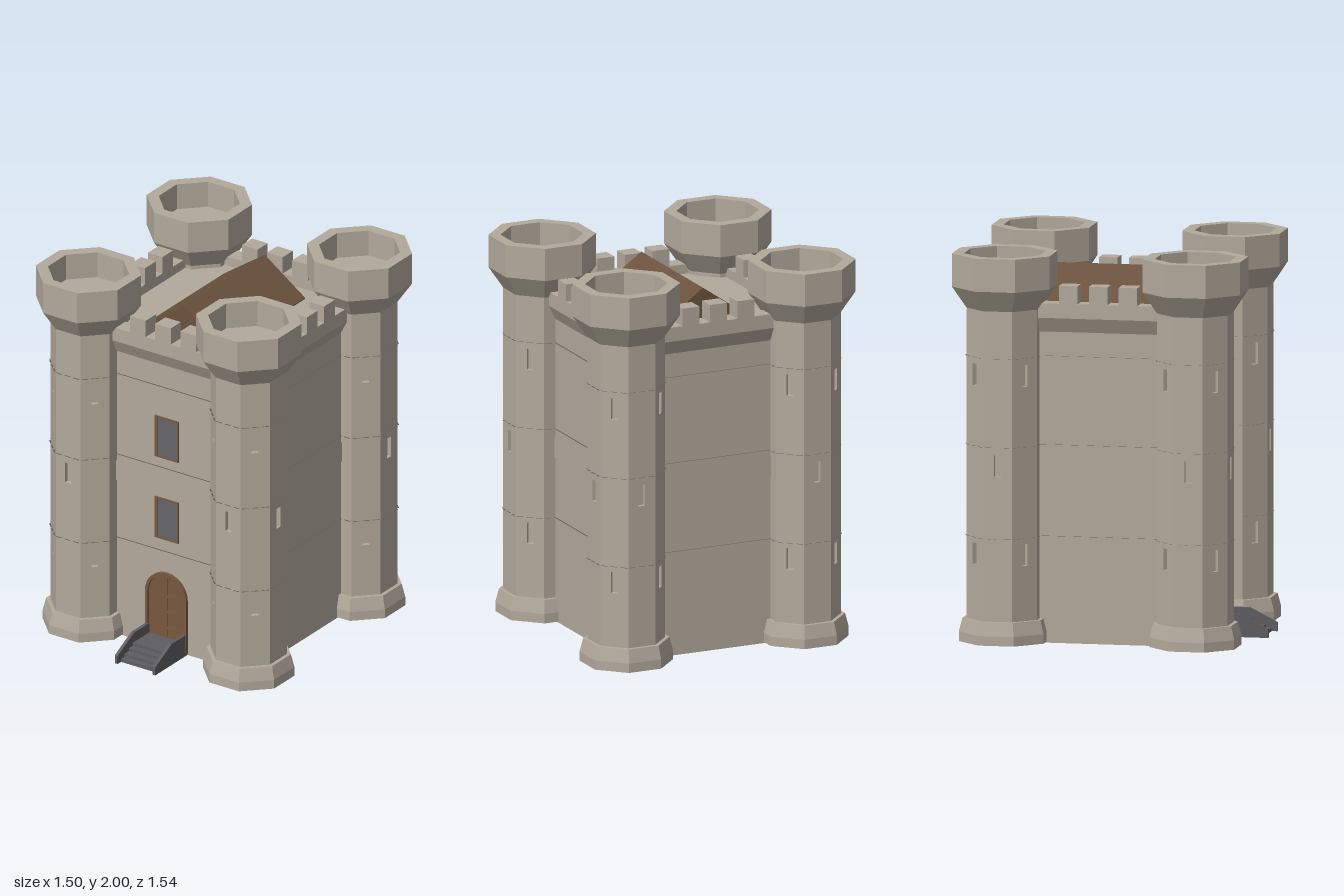
import * as THREE from 'three';

const mat = (name, color, side = THREE.FrontSide) => {
  const m = new THREE.MeshStandardMaterial({ color, side });
  m.name = name;
  return m;
};

// Faceted solid with n sides; profile is [apothem, y] from bottom to top
function faceted(profile, n) {
  const k = 1 / Math.cos(Math.PI / n);
  const pts = profile.map(([r, y]) => new THREE.Vector2(r * k, y));
  const g = new THREE.LatheGeometry(pts, n, Math.PI / n).toNonIndexed();
  g.computeVertexNormals();
  return g;
}

const polygon = (pts) => new THREE.Shape(pts.map(([x, y]) => new THREE.Vector2(x, y)));
const rect = (x0, y0, x1, y1) => polygon([[x0, y0], [x1, y0], [x1, y1], [x0, y1]]);
const extrude = (shape, depth) =>
  new THREE.ExtrudeGeometry(shape, { depth, bevelEnabled: false, curveSegments: 10 });

function arch(r, y0, spring) {
  const s = new THREE.Shape();
  s.moveTo(-r, y0);
  s.lineTo(r, y0);
  s.lineTo(r, spring);
  s.absarc(0, spring, r, 0, Math.PI, false);
  s.lineTo(-r, y0);
  return s;
}

export function createModel() {
  const stone = mat('stone', 0xb3a99c);
  const joint = mat('stone joint', 0x615c55, THREE.DoubleSide);
  const roofBrown = mat('roof brown', 0x6b523e);
  const wood = mat('wood brown', 0x77573f);
  const slate = mat('window grey', 0x666668);
  const stairGrey = mat('stair grey', 0x5e5e60);

  const model = new THREE.Group();
  model.name = 'castleKeep';
  const keep = new THREE.Group();
  keep.name = 'keep';
  keep.position.z = -0.023;
  model.add(keep);

  const add = (parent, name, geo, material, x = 0, y = 0, z = 0, ry = 0) => {
    const m = new THREE.Mesh(geo, material);
    m.name = name;
    m.position.set(x, y, z);
    m.rotation.y = ry;
    parent.add(m);
    return m;
  };
  const box = (parent, name, material, w, h, d, x, y, z) =>
    add(parent, name, new THREE.BoxGeometry(w, h, d), material, x, y, z);

  const WALL = 0.507;
  const BANDS = [0.55, 1.02, 1.476];

  // Main block with corbelled parapet and sunken deck
  add(keep, 'mainBlock', faceted([
    [0, 0], [WALL, 0], [WALL, 1.6], [0.545, 1.675], [0.545, 1.75],
    [0.455, 1.75], [0.455, 1.7], [0, 1.7]], 4), stone);
  for (const y of BANDS) {
    const g = new THREE.PlaneGeometry(2 * WALL + 0.016, 2 * WALL + 0.016).rotateX(-Math.PI / 2);
    add(keep, 'wallJoint', g, joint, 0, y, 0);
  }

  // Three merlons on every side
  for (let side = 0; side < 4; side++) {
    const parapet = new THREE.Group();
    parapet.name = 'parapetMerlons';
    parapet.rotation.y = side * Math.PI / 2;
    keep.add(parapet);
    for (let i = -1; i <= 1; i++) {
      box(parapet, 'merlon', stone, 0.096, 0.1, 0.09, i * 0.155, 1.792, 0.5);
    }
  }

  // Gabled roof
  const gable = extrude(polygon([[-0.25, 1.695], [0.25, 1.695], [0.25, 1.705], [0, 1.88], [-0.25, 1.705]]), 0.724);
  add(keep, 'gableRoof', gable, roofBrown, 0, 0, -0.364);

  // Shared tower geometry
  const A = 0.183, T = Math.tan(Math.PI / 8);
  const towerCore = faceted([
    [0, 0.006], [0.22, 0.006], [0.22, 0.055], [0.203, 0.125], [0.16, 0.125], [0.16, 1.72],
    [A, 1.72], [0.253, 1.83], [0.253, 1.908], [0.195, 1.908], [0.195, 1.86], [0, 1.86]], 8);
  const panel = (slits) => {
    const s = rect(-A * T, 0.12, A * T, 1.72);
    for (const y of slits) {
      s.holes.push(rect(-0.018, y - 0.056, 0.018, y + 0.056));
    }
    return extrude(s, 0.03);
  };
  const panels = [panel([0.925]), panel([0.465, 1.385])];
  const dash = new THREE.PlaneGeometry(0.036, 0.016).rotateX(-Math.PI / 2);

  // Merlon wrapping one corner of the octagon
  const Ro = 0.253, Ri = 0.195, gap = 0.032, c = Math.SQRT1_2;
  const nextFace = (ap, s) => [c * ap + c * s, c * ap - c * s];
  const cornerMerlon = extrude(polygon([
    [gap, Ro], [Ro * T, Ro], nextFace(Ro, gap),
    nextFace(Ri, gap), [Ri * T, Ri], [gap, Ri]]), 0.096).rotateX(-Math.PI / 2);

  // Corner towers
  for (const sx of [-1, 1]) for (const sz of [-1, 1]) {
    const tower = new THREE.Group();
    tower.name = 'cornerTower';
    tower.position.set(sx * 0.495, 0, sz * 0.495);
    keep.add(tower);
    add(tower, 'towerCore', towerCore, stone);
    for (let i = 0; i < 8; i++) {
      const face = new THREE.Group();
      face.name = 'towerFace';
      face.rotation.y = i * Math.PI / 4;
      tower.add(face);
      add(face, 'slitWall', panels[i % 2], stone, 0, 0, A - 0.03);
      add(face, 'towerMerlon', cornerMerlon, stone, 0, 1.904, 0);
      for (const y of BANDS) for (const k of [-1, 0, 1]) {
        add(face, 'towerJoint', dash, joint, k * 0.053, y, A);
      }
    }
  }

  // Windows in wooden frames
  for (const y of [0.732, 1.19]) {
    const frame = rect(-0.074, -0.115, 0.074, 0.115);
    frame.holes.push(rect(-0.056, -0.109, 0.068, 0.109));
    add(keep, 'windowFrame', extrude(frame, 0.009), wood, 0, y, WALL);
    box(keep, 'windowPane', slate, 0.126, 0.22, 0.004, 0.006, y, WALL + 0.002);
  }

  // Arched door with frame, centre seam and rails
  const doorFrame = arch(0.127, 0.01, 0.305);
  doorFrame.holes.push(arch(0.11, 0.011, 0.305));
  add(keep, 'doorFrame', extrude(doorFrame, 0.016), wood, 0, 0, WALL);
  add(keep, 'door', extrude(arch(0.112, 0.01, 0.305), 0.004), wood, 0, 0, WALL);
  box(keep, 'doorStile', wood, 0.012, 0.34, 0.005, 0, 0.235, WALL + 0.005);
  for (const y of [0.12, 0.21, 0.3]) {
    box(keep, 'doorRail', wood, 0.216, 0.012, 0.005, 0, y, WALL + 0.005);
  }

  // Front steps between sloped side walls
  [[0.66, 0.066], [0.695, 0.05], [0.733, 0.034], [0.765, 0.018]].forEach(([z, h]) => {
    box(keep, 'step', stairGrey, 0.22, h, z - 0.5, 0, h / 2, (z + 0.5) / 2);
  });
  const stringer = extrude(polygon([
    [0.5, 0], [0.795, 0], [0.795, 0.045], [0.65, 0.118], [0.5, 0.118]]), 0.018).rotateY(-Math.PI / 2);
  for (const x of [-0.107, 0.125]) add(keep, 'stairSideWall', stringer, stairGrey, x, 0, 0);

  return model;
}
